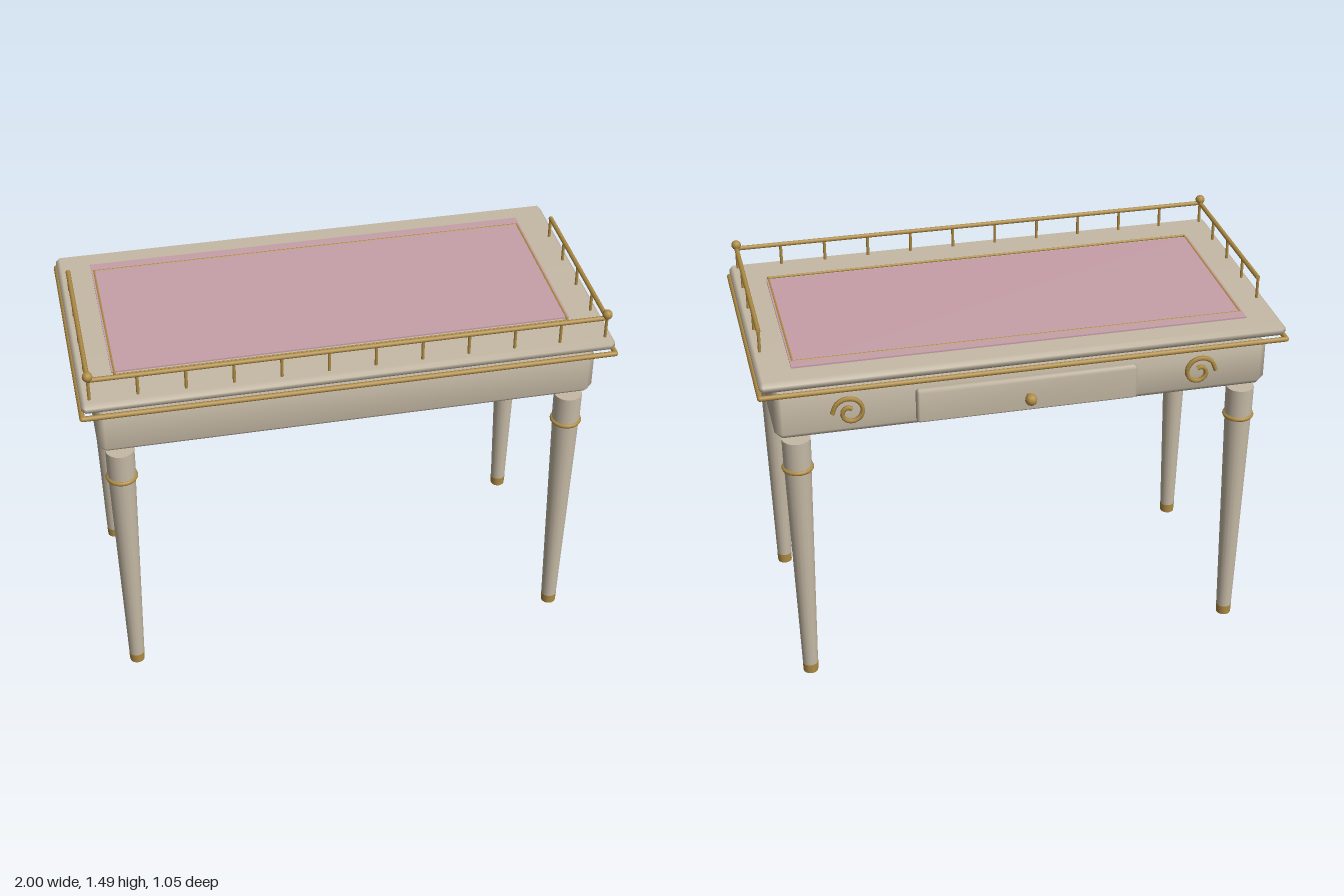
import * as THREE from 'three';
import { ConvexGeometry } from 'three/addons/geometries/ConvexGeometry.js';
import { mergeVertices } from 'three/addons/utils/BufferGeometryUtils.js';

const paint = new THREE.MeshStandardMaterial({ color: 0xc6baa6, name: 'painted wood' });
const brass = new THREE.MeshStandardMaterial({ color: 0xb08d45, name: 'brass' });
const leather = new THREE.MeshStandardMaterial({ color: 0xc79fa8, name: 'pink leather' });

function add(parent, name, geometry, material, x = 0, y = 0, z = 0) {
  const mesh = new THREE.Mesh(geometry, material);
  mesh.name = name;
  mesh.position.set(x, y, z);
  parent.add(mesh);
  return mesh;
}

// Box with one chamfer on every edge and softly blended normals
function bevelledBox(w, h, d, c) {
  const points = [];
  for (const sx of [-1, 1]) for (const sy of [-1, 1]) for (const sz of [-1, 1]) {
    const x = w / 2, y = h / 2, z = d / 2;
    points.push(
      new THREE.Vector3(sx * x, sy * (y - c), sz * (z - c)),
      new THREE.Vector3(sx * (x - c), sy * y, sz * (z - c)),
      new THREE.Vector3(sx * (x - c), sy * (y - c), sz * z));
  }
  let geometry = new ConvexGeometry(points);
  geometry.deleteAttribute('normal');
  geometry = mergeVertices(geometry);
  geometry.computeVertexNormals();
  return geometry;
}

// Round rod between two points
function rod(parent, name, a, b, r) {
  const from = new THREE.Vector3(...a), to = new THREE.Vector3(...b);
  const dir = to.clone().sub(from);
  const mid = from.clone().add(to).multiplyScalar(0.5);
  const mesh = add(parent, name, new THREE.CylinderGeometry(r, r, dir.length(), 8), brass, mid.x, mid.y, mid.z);
  mesh.quaternion.setFromUnitVectors(new THREE.Vector3(0, 1, 0), dir.normalize());
}

// Rectangle of rods lying flat
function rodFrame(parent, name, x, zBack, zFront, y, r) {
  const corners = [[-x, y, zBack], [x, y, zBack], [x, y, zFront], [-x, y, zFront]];
  corners.forEach((c, i) => {
    rod(parent, name, c, corners[(i + 1) % 4], r);
    add(parent, name + 'Corner', new THREE.SphereGeometry(r, 8, 6), brass, ...c);
  });
}

function leg(parent, x, z) {
  const group = new THREE.Group();
  group.name = 'leg';
  group.position.set(x, 0, z);
  add(group, 'legShaft', new THREE.CylinderGeometry(0.051, 0.03, 0.91, 16), paint, 0, 0.49, 0);
  add(group, 'legCapital', new THREE.CylinderGeometry(0.054, 0.053, 0.13, 16), paint, 0, 1.01, 0);
  add(group, 'legFerrule', new THREE.CylinderGeometry(0.031, 0.029, 0.04, 16), brass, 0, 0.02, 0);
  add(group, 'legRing', new THREE.TorusGeometry(0.052, 0.009, 8, 20), brass, 0, 0.95, 0).rotation.x = Math.PI / 2;
  parent.add(group);
}

export function createModel() {
  const desk = new THREE.Group();
  desk.name = 'writingDesk';

  for (const x of [-0.86, 0.86]) for (const z of [0.405, -0.375]) leg(desk, x, z);

  // Apron, top slab and brass edge trim
  add(desk, 'apron', bevelledBox(1.88, 0.195, 0.89, 0.028), paint, 0, 1.193, 0.015);
  add(desk, 'topSlab', bevelledBox(1.98, 0.044, 0.995, 0.015), paint, 0, 1.349, 0.0175);
  rodFrame(desk, 'edgeTrim', 0.99, -0.483, 0.517, 1.317, 0.01);

  // Leather writing surface with a brass border
  add(desk, 'leatherInlay', new THREE.BoxGeometry(1.724, 0.007, 0.72), leather, 0, 1.3735, -0.025);
  rodFrame(desk, 'inlayBorder', 0.852, -0.338, 0.354, 1.374, 0.005);

  // Gallery rail along the front and part of each side
  const gx = 0.957, gz = 0.477, railY = 1.455, backZ = -0.232;
  rod(desk, 'frontRail', [-gx, railY, gz], [gx, railY, gz], 0.009);
  for (let i = 0; i < 12; i++) {
    const x = -gx + (i * 2 * gx) / 11;
    rod(desk, 'railPost', [x, 1.365, gz], [x, railY, gz], 0.006);
  }
  for (const s of [-1, 1]) {
    rod(desk, 'sideRail', [s * gx, railY, backZ], [s * gx, railY, gz], 0.009);
    for (let i = 1; i < 5; i++) {
      const z = gz + ((backZ - gz) * i) / 4;
      rod(desk, 'railPost', [s * gx, 1.365, z], [s * gx, railY, z], 0.006);
    }
    add(desk, 'finial', new THREE.SphereGeometry(0.019, 12, 8), brass, s * gx, 1.47, gz);
  }

  // Drawer at the back with its knob
  add(desk, 'drawerFront', bevelledBox(0.84, 0.135, 0.04, 0.01), paint, 0, 1.193, -0.445);
  rod(desk, 'knobStem', [0, 1.193, -0.46], [0, 1.193, -0.495], 0.01);
  add(desk, 'knob', new THREE.SphereGeometry(0.023, 10, 8), brass, 0, 1.193, -0.499);

  // Scroll ornaments beside the drawer
  for (const s of [-1, 1]) {
    const points = [];
    for (let i = 0; i <= 12; i++) {
      const a = (i * Math.PI) / 4.5, r = 0.066 - 0.0042 * i;
      points.push(new THREE.Vector3(s * r * Math.cos(a), r * Math.sin(a), 0));
    }
    const curve = new THREE.CatmullRomCurve3(points);
    add(desk, 'scroll', new THREE.TubeGeometry(curve, 24, 0.009, 6), brass, s * 0.665, 1.198, -0.445);
  }
  return desk;
}
